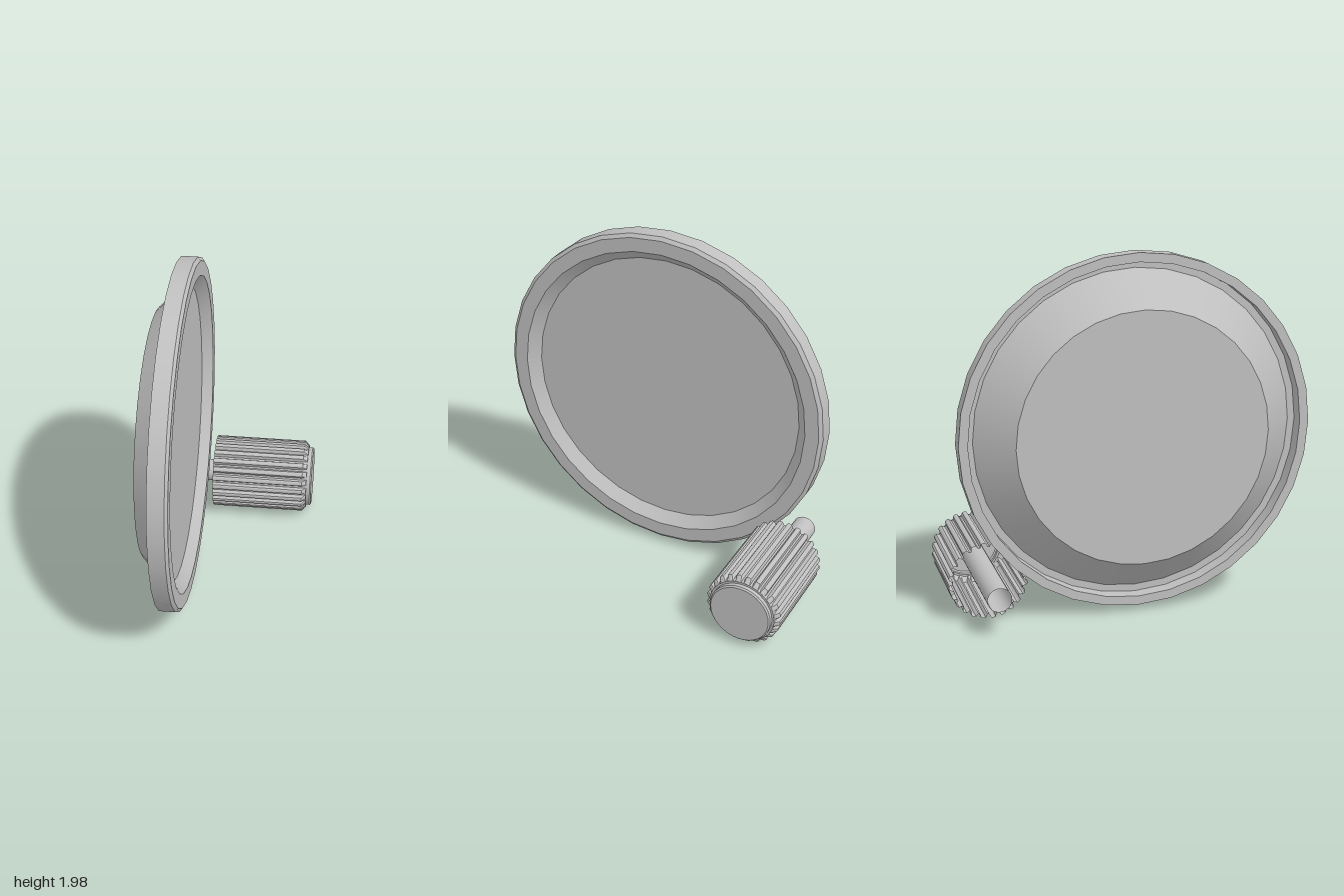
import * as THREE from 'three';
import { mergeGeometries } from 'three/addons/utils/BufferGeometryUtils.js';

// Revolve a [radius, x] profile about the x axis, with a crisp edge at every point
function revolve(profile, sides) {
  const bands = [];
  for (let i = 0; i < profile.length - 1; i++) {
    const pts = [profile[i], profile[i + 1]].map(([r, x]) => new THREE.Vector2(r, x));
    bands.push(new THREE.LatheGeometry(pts, sides));
  }
  return mergeGeometries(bands).rotateZ(-Math.PI / 2);
}

// Fluted sleeve: toothed cross-sections along x, closing to a plain ring at the front
function flutedSleeve(teeth) {
  const sections = [[-0.16, 0.194, 0.217], [0.385, 0.194, 0.217], [0.41, 0.186, 0.19]];
  const tooth = [[0, 0], [0.2, 0], [0.36, 0.85], [0.5, 1], [0.7, 1], [0.84, 0.85]];
  const n = teeth * tooth.length;
  const pos = [], index = [];
  for (const [x, valley, crest] of sections) {
    for (let i = 0; i < n; i++) {
      const [t, h] = tooth[i % tooth.length];
      const a = ((Math.floor(i / tooth.length) + t) / teeth) * Math.PI * 2;
      const r = valley + (crest - valley) * h;
      pos.push(x, r * Math.cos(a), r * Math.sin(a));
    }
  }
  for (let s = 0; s < sections.length - 1; s++) {
    for (let i = 0; i < n; i++) {
      const a = s * n + i, b = s * n + (i + 1) % n;
      index.push(a, b, a + n, b, b + n, a + n);
    }
  }
  const indexed = new THREE.BufferGeometry();
  indexed.setAttribute('position', new THREE.Float32BufferAttribute(pos, 3));
  indexed.setIndex(index);
  const geo = indexed.toNonIndexed();
  geo.computeVertexNormals();
  return geo;
}

export function createModel() {
  const model = new THREE.Group();
  model.name = 'handwheel';
  const metal = new THREE.MeshStandardMaterial({ color: 0xc0c0c0, side: THREE.DoubleSide });
  metal.name = 'grey metal';

  const add = (parent, name, geometry) => {
    const mesh = new THREE.Mesh(geometry, metal);
    mesh.name = name;
    parent.add(mesh);
  };

  // Dished wheel with a rolled rim that is hollow behind
  const wheel = new THREE.Group();
  wheel.name = 'wheel';
  wheel.position.set(0, 1.015, 0.025);
  add(wheel, 'wheelDisc', revolve([
    [0, -0.4], [0.695, -0.4], [0.885, -0.21], [0.925, -0.21], [0.925, -0.29],
    [0.975, -0.29], [0.975, -0.2], [0.955, -0.185],
    [0.875, -0.185], [0.815, -0.245], [0, -0.245],
  ], 32));
  model.add(wheel);

  // Fluted grip on its spindle, beside the rim
  const handle = new THREE.Group();
  handle.name = 'handle';
  handle.position.set(0, 0.222, -0.783);
  add(handle, 'handleGrip', flutedSleeve(24));
  add(handle, 'handleCap', revolve([
    [0.19, 0.41], [0.178, 0.41], [0.178, 0.432], [0.17, 0.44], [0, 0.44],
  ], 32));
  add(handle, 'spindle', revolve([[0.066, -0.45], [0.066, 0.41]], 24));
  model.add(handle);

  return model;
}
